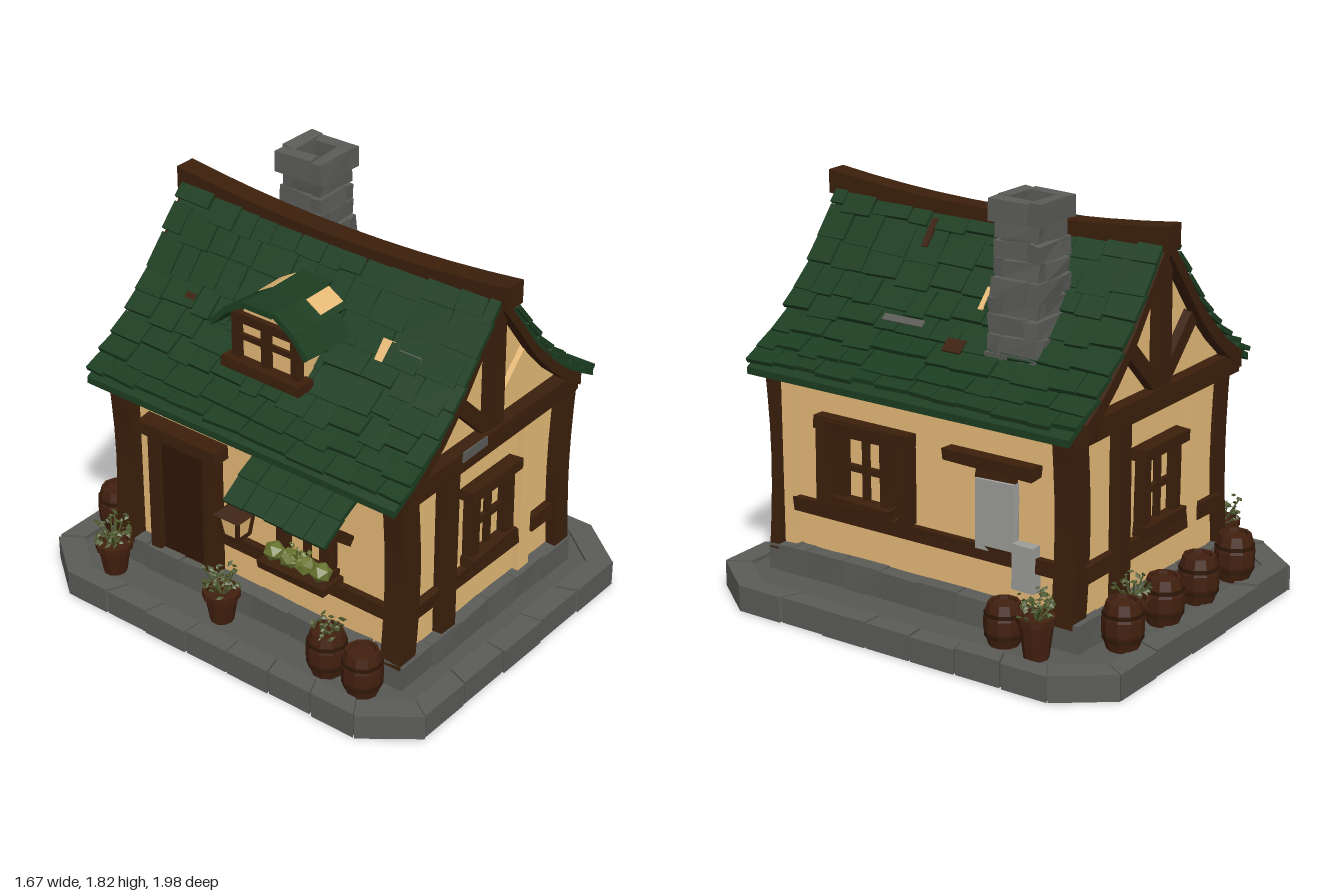
import * as THREE from 'three';
import { mergeGeometries } from 'three/addons/utils/BufferGeometryUtils.js';

const mat = (name, color) => Object.assign(new THREE.MeshStandardMaterial({ color }), { name });
const V = (x, y, z) => new THREE.Vector3(x, y, z);

export function createModel() {
  const M = {
    plaster: mat('plaster', 0xe8bc78), wood: mat('darkWood', 0x3b1f0b), door: mat('doorWood', 0x2e1708),
    stone: mat('stone', 0x5b5b58), floor: mat('floorStone', 0x565653), shingle: mat('greenShingle', 0x1c3d21),
    barrel: mat('barrelWood', 0x42200f), pale: mat('paleStone', 0x9c9c99), leaf: mat('leaf', 0x4c572c),
    olive: mat('oliveLeaf', 0x68742f),
  };
  const model = new THREE.Group();
  model.name = 'cottage';
  let seed = 7;
  const rnd = (a = 0, b = 1) => { seed = (seed * 16807) % 2147483647; return a + (b - a) * seed / 2147483647; };

  // merged mesh with hard facets
  const add = (name, material, geos, parent = model) => {
    const flat = geos.map(g => { const n = g.index ? g.toNonIndexed() : g; n.deleteAttribute('uv'); n.clearGroups(); n.computeVertexNormals(); return n; });
    const mesh = new THREE.Mesh(mergeGeometries(flat), material);
    mesh.name = name;
    parent.add(mesh);
  };
  const bend = (g, rule) => {
    const p = g.attributes.position, v = V();
    for (let i = 0; i < p.count; i++) { v.fromBufferAttribute(p, i); rule(v); p.setXYZ(i, v.x, v.y, v.z); }
    return g;
  };
  // box given by its limits, with slightly uneven corners
  const box = (x0, x1, y0, y1, z0, z1, j = 0) => {
    const off = Array.from({ length: 8 }, () => V(rnd(-j, j), rnd(-j, j), rnd(-j, j)));
    const g = new THREE.BoxGeometry(Math.abs(x1 - x0), Math.abs(y1 - y0), Math.abs(z1 - z0));
    bend(g, v => v.add(off[(v.x > 0) + 2 * (v.y > 0) + 4 * (v.z > 0)]));
    return g.translate((x0 + x1) / 2, (y0 + y1) / 2, (z0 + z1) / 2);
  };
  // bar from p to q; w runs along side, t across it
  const bar = (p, q, w, t, side = V(0, 0, 1)) => {
    const u = q.clone().sub(p), len = u.length();
    u.normalize();
    const s = side.clone().addScaledVector(u, -side.dot(u)).normalize();
    const m = new THREE.Matrix4().makeBasis(u.clone().cross(s), u, s).setPosition(p.clone().add(q).multiplyScalar(0.5));
    return new THREE.BoxGeometry(t, len, w).applyMatrix4(m);
  };
  const prism = (pts, depth, steps = 1) => new THREE.ExtrudeGeometry(
    new THREE.Shape(pts.map(p => new THREE.Vector2(...p))), { depth, steps, bevelEnabled: false });

  // base: floor slab and octagonal kerb
  const oct = (x, z, cx, cz) => [[-x + cx, -z], [x - cx, -z], [x, -z + cz], [x, z - cz], [x - cx, z], [-x + cx, z], [-x, z - cz], [-x, -z + cz]];
  const outer = oct(0.835, 0.99, 0.17, 0.22), inner = oct(0.745, 0.895, 0.14, 0.18);
  const slab = (pts, h) => prism(pts.map(([x, z]) => [x, -z]), h).rotateX(-Math.PI / 2);
  add('floor', M.floor, [slab(oct(0.815, 0.97, 0.165, 0.215), 0.1).translate(0, 0.004, 0)]);
  const kerb = [], mix = (a, b, t) => [a[0] + (b[0] - a[0]) * t, a[1] + (b[1] - a[1]) * t];
  outer.forEach((a, i) => {
    const k = (i + 1) % 8, n = i % 2 ? 1 : i % 4 ? 7 : 5;
    for (let s = 0; s < n; s++) {
      const t0 = s / n + 0.003, t1 = (s + 1) / n - 0.003, grow = rnd(0.992, 1.004);
      const pts = [mix(a, outer[k], t0), mix(a, outer[k], t1), mix(inner[i], inner[k], t1), mix(inner[i], inner[k], t0)];
      kerb.push(slab(pts.map(([x, z]) => [x * grow, z * grow]), rnd(0.106, 0.116)).translate(0, 0.006, 0));
    }
  });
  add('kerbStones', M.stone, kerb);

  // plinth of loose blocks
  const plinth = [box(-0.565, 0.565, 0.05, 0.205, -0.725, 0.795)];
  const course = (from, to, n, make) => {
    for (let i = 0; i < n; i++) plinth.push(make(from + (to - from) * i / n + 0.003, from + (to - from) * (i + 1) / n - 0.003));
  };
  for (const s of [-1, 1]) {
    course(-0.74, 0.81, 8, (a, b) => box(s * 0.45, s * 0.585, 0.09, 0.22, a, b, 0.006));
    const z = s > 0 ? 0.815 : -0.745;
    course(-0.585, 0.585, 6, (a, b) => box(a, b, 0.09, 0.22, z - s * 0.13, z, 0.006));
  }
  add('plinth', M.stone, plinth);

  // roof curve: flared slope with a sagging ridge
  const slope = [[0, 1.64], [0.12, 1.49], [0.24, 1.335], [0.36, 1.215], [0.48, 1.12], [0.58, 1.06], [0.67, 1.012]];
  const lift = (x, z) => 0.04 * ((z - 0.04) / 0.82) ** 2 * Math.max(0, 1 - Math.abs(x) / 0.67);
  const roofY = (x, z) => {
    const a = Math.abs(x);
    let i = 0;
    while (i < 5 && slope[i + 1][0] < a) i++;
    const [x0, y0] = slope[i], [x1, y1] = slope[i + 1];
    return y0 + (y1 - y0) * (a - x0) / (x1 - x0) + lift(x, z);
  };
  const xs = [...slope.map(p => -p[0]).reverse(), ...slope.slice(1).map(p => p[0])];
  const band = (list, d0, d1, z) => [...list.map(x => [x, roofY(x, z) - d1]), ...[...list].reverse().map(x => [x, roofY(x, z) - d0])];

  // house body
  const top = [0.51, 0.36, 0.24, 0.12, 0, -0.12, -0.24, -0.36, -0.51].map(x => [x, roofY(x, 0.04) - 0.03]);
  add('walls', M.plaster, [prism([[-0.51, 0.2], [0.51, 0.2], ...top], 1.46).translate(0, 0, -0.7)]);
  add('roofDeck', M.shingle, [bend(prism(band(xs, 0, 0.03, 0.04), 1.58, 8).translate(0, 0, -0.75), v => { v.y += lift(v.x, v.z); })]);

  // shingles
  const shingles = [], rows = 8;
  for (const s of [-1, 1]) for (let r = 0; r < rows; r++) {
    const xa = 0.65 * r / rows, xb = Math.min(0.66, 0.65 * (r + 1.2) / rows);
    let z = -0.77;
    while (z < 0.83) {
      const w = Math.min(rnd(0.09, 0.19), 0.845 - z), c = z + w / 2, e = rnd(-0.016, 0.014), h = rnd(0.016, 0.03);
      shingles.push(bar(V(s * xa, roofY(xa, c) + 0.004, c + rnd(-0.005, 0.005)), V(s * (xb + e), roofY(xb + e, c) + h, c), w - 0.005, 0.02));
      z += w;
    }
  }
  add('shingles', M.shingle, shingles);
  add('ridgeBeam', M.wood, [bend(new THREE.BoxGeometry(0.095, 0.1, 1.67, 1, 1, 10).translate(0.006, 1.608, 0.045), v => { v.y += lift(0, v.z) * 1.3; })]);

  // bare patches between the shingles: x, z, length in x, width
  const patches = list => list.map(([x, z, l, w]) => bar(V(x, roofY(x, z) + 0.03, z), V(x + l, roofY(x + l, z) + 0.03, z), w, 0.009));
  add('barePlaster', M.plaster, patches([[0.22, -0.07, 0.07, 0.022], [-0.27, 0.45, 0.06, 0.06]]));
  add('bareBattens', M.wood, patches([[0.07, 0.31, 0.08, 0.03], [0.4, -0.04, 0.05, 0.09], [-0.33, -0.5, 0.04, 0.05]]));
  add('bareStrips', M.stone, patches([[0.36, 0.25, 0.025, 0.2], [-0.25, 0.58, 0.025, 0.14]]));

  // window with a cross of bars, in a plane facing +z
  const windowUnit = (parent, x, shutters) => {
    const g = new THREE.Group();
    g.name = 'window';
    g.position.x = x;
    parent.add(g);
    const wood = [box(-0.14, -0.09, 0.46, 0.78, 0, 0.05, 0.004), box(0.09, 0.14, 0.46, 0.78, 0, 0.05, 0.004),
      box(-0.15, 0.15, 0.445, 0.495, 0, 0.07, 0.004), box(-0.168, 0.168, 0.77, 0.82, 0, 0.07, 0.005),
      box(-0.014, 0.014, 0.48, 0.78, 0, 0.03), box(-0.1, 0.1, 0.61, 0.638, 0, 0.03)];
    if (shutters) {
      for (const s of [-1, 1]) wood.push(box(s * 0.17, s * 0.24, 0.44, 0.82, 0, 0.05, 0.004));
      wood.push(box(-0.24, 0.24, 0.77, 0.83, 0, 0.06, 0.004));
    }
    add('windowFrame', M.wood, wood, g);
    add('windowPane', M.plaster, [box(-0.1, 0.1, 0.48, 0.78, 0, 0.008)], g);
  };

  // gable ends: timbers, braces, window
  const gable = (name, z, turn, braces) => {
    const g = new THREE.Group();
    g.name = name;
    g.position.z = z;
    g.rotation.y = turn;
    model.add(g);
    const wood = [box(-0.31, -0.225, 0.22, 1, 0, 0.045, 0.005), box(-0.5, 0.23, 0.375, 0.44, 0, 0.035, 0.005),
      box(0.32, 0.5, 0.375, 0.44, 0, 0.035, 0.005), box(-0.57, 0.575, 0.96, 1.045, -0.03, 0.06, 0.005), box(-0.03, 0.055, 1.03, 1.6, 0, 0.05, 0.003)];
    for (const s of braces) wood.push(bar(V(s * 0.02, 1.05, 0.02), V(s * 0.25, 1.28, 0.02), 0.04, 0.065));
    wood.push(prism(band(xs.slice(1, -1), 0.015, 0.085, 0.8), 0.05).translate(0, 0, 0.02));
    add('timbers', M.wood, wood, g);
    const strips = [box(0.24, 0.315, 0.22, 0.96, 0, 0.03)];
    if (braces.length < 2) {
      strips.push(bar(V(0.02, 1.05, 0.012), V(0.25, 1.28, 0.012), 0.025, 0.065));
      add('beamPatch', M.stone, [box(-0.23, -0.07, 1.01, 1.05, 0.06, 0.068, 0.003)], g);
    }
    add('plasterStrips', M.plaster, strips, g);
    windowUnit(g, 0.015, false);
  };
  gable('frontGable', 0.76, 0, [-1]);
  gable('backGable', -0.7, Math.PI, [-1, 1]);

  // corner posts, slightly bowed, and side beams; one post is partly plastered
  const posts = [[-1, 0.755, 0.1], [1, 0.785, 0.045], [-1, -0.665, 0.1], [1, -0.665, 0.1]].map(([s, z, d]) =>
    bend(new THREE.BoxGeometry(0.1, 0.8, d, 1, 6, 1).translate(s * 0.525, 0.6, z), v => { v.x -= s * 0.025 * Math.sin((v.y - 0.2) / 0.8 * Math.PI) - s * 0.012; }));
  add('cornerPosts', M.wood, posts);
  add('postPlaster', M.plaster, [box(0.49, 0.54, 0.22, 0.96, 0.7, 0.762)]);
  add('sideBeams', M.wood, [box(0.5, 0.545, 0.375, 0.435, -0.63, 0.71, 0.004), box(-0.545, -0.5, 0.375, 0.435, -0.16, 0.71, 0.004),
    ...[-1, 1].map(s => box(s * 0.49, s * 0.57, 0.965, 1.03, -0.765, 0.82, 0.004))]);

  // right side: shuttered window and blocked doorway
  const right = new THREE.Group(), left = new THREE.Group();
  right.name = 'rightWall'; right.position.x = 0.51; right.rotation.y = Math.PI / 2;
  left.name = 'leftWall'; left.position.x = -0.51; left.rotation.y = -Math.PI / 2;
  model.add(right, left);
  windowUnit(right, -0.33, true);
  add('doorwayHeader', M.wood, [box(0.09, 0.52, 0.77, 0.82, 0, 0.07, 0.006), box(0.22, 0.41, 0.71, 0.78, 0, 0.02, 0.008)], right);
  add('palePanel', M.pale, [box(0.22, 0.41, 0.42, 0.72, 0, 0.03, 0.008), box(0.41, 0.515, 0.29, 0.485, 0, 0.05, 0.004)], right);

  // left side: door, window, flower shelf
  windowUnit(left, 0.29, false);
  add('doorFrame', M.wood, [box(-0.53, -0.47, 0.2, 0.8, 0, 0.06, 0.005), box(-0.23, -0.17, 0.2, 0.8, 0, 0.06, 0.005), box(-0.56, -0.14, 0.78, 0.84, 0, 0.08, 0.005)], left);
  add('door', M.door, [0, 1, 2].map(i => box(-0.47 + i * 0.08, -0.394 + i * 0.08, 0.2, 0.78, 0, 0.035)), left);
  add('flowerShelf', M.wood, [box(0.12, 0.46, 0.43, 0.465, 0, 0.13, 0.004)], left);

  // awning
  const awning = [], arms = [];
  for (let i = 0; i < 5; i++) {
    const z = 0.08 + i * 0.105;
    awning.push(bar(V(-0.52, 0.89, z), V(-0.64, 0.83 + rnd(-0.005, 0.005), z), 0.1, 0.02));
    awning.push(bar(V(-0.62, 0.835, z), V(-0.735 + rnd(-0.01, 0.01), 0.76, z), 0.1, 0.02));
  }
  for (const z of [0.06, 0.49]) arms.push(bar(V(-0.52, 0.66, z), V(-0.66, 0.775, z), 0.045, 0.045));
  add('awning', M.shingle, awning);
  add('brackets', M.wood, arms);

  // lantern hanging from the nearest bracket
  const frustum = (r1, r0, h, y) => new THREE.CylinderGeometry(r1, r0, h, 4).rotateY(Math.PI / 4).translate(-0.66, y, 0.03);
  add('lanternGlass', M.plaster, [frustum(0.068, 0.048, 0.1, 0.615)]);
  const cage = [frustum(0.012, 0.095, 0.05, 0.69), frustum(0.06, 0.055, 0.018, 0.562), frustum(0.01, 0.01, 0.07, 0.74)];
  for (const a of [-1, 1]) for (const b of [-1, 1]) cage.push(bar(V(-0.66 + a * 0.036, 0.56, 0.03 + b * 0.036), V(-0.66 + a * 0.05, 0.67, 0.03 + b * 0.05), 0.014, 0.014));
  add('lanternCage', M.wood, cage);

  // dormer: arched shingle roof with a bare patch behind each shoulder
  const arch = [[-0.24, 1.355], [-0.17, 1.43], [-0.07, 1.49], [0.07, 1.49], [0.17, 1.43], [0.24, 1.355]];
  const dormerTiles = [], dormerBare = [];
  arch.slice(0, -1).forEach(([z0, y0], i) => {
    const [z1, y1] = arch[i + 1], side = V(0, y1 - y0, z1 - z0), w = side.length() + 0.012;
    const z = (z0 + z1) / 2 + 0.02, y = (y0 + y1) / 2 + 0.012, back = [-0.22, -0.16, -0.11, -0.16, -0.22][i];
    dormerTiles.push(bar(V(-0.37, y, z), V(back, y, z), w, 0.024, side));
    dormerTiles.push(bar(V(-0.495 + rnd(-0.006, 0.006), y + 0.016, z), V(-0.35, y + 0.004, z), w, 0.024, side));
    if (i % 2) dormerBare.push(bar(V(-0.3, y + 0.013, z), V(-0.16, y + 0.013, z), 0.085, 0.008, side));
  });
  add('dormerRoof', M.shingle, dormerTiles);
  add('dormerPatches', M.plaster, dormerBare);
  add('dormerBody', M.plaster, [prism([[-0.16, 1.15], [0.16, 1.15], [0.16, 1.42], [0.07, 1.48], [-0.07, 1.48], [-0.16, 1.42]], 0.27).rotateY(-Math.PI / 2).translate(-0.16, 0, 0.02)]);
  const frame = [box(-0.49, -0.4, 1.195, 1.24, -0.18, 0.22, 0.004), box(-0.455, -0.42, 1.4, 1.44, -0.14, 0.18)];
  for (const z of [-0.13, 0.02, 0.17]) frame.push(box(-0.455, -0.42, 1.22, 1.44, z - 0.02, z + 0.02));
  frame.push(box(-0.445, -0.42, 1.32, 1.345, -0.14, 0.18));
  add('dormerWindow', M.wood, frame);

  // chimney: courses of blocks round an open flue
  const chimney = [];
  const ring = (x, z, r, y0, y1, w, flip, j) => {
    for (let k = 0; k < 4; k++) {
      const g = box(-r, r - w, y0, y1, r - w, r, j);
      if (flip) g.translate(w, 0, 0);
      chimney.push(g.rotateY(k * Math.PI / 2).translate(x, 0, z));
    }
  };
  for (let i = 0; i < 8; i++) ring(0.308 - i * 0.0035, -0.315, 0.12 - i * 0.002 + rnd(-0.004, 0.004), 1.13 + i * 0.075, 1.2 + i * 0.075, 0.055, i % 2, 0.007);
  ring(0.283, -0.315, 0.122, 1.725, 1.815, 0.06, false, 0.006);
  add('chimney', M.stone, chimney);
  add('chimneyCore', M.floor, [box(0.2, 0.375, 1.1, 1.66, -0.4, -0.23)]);

  // barrels, pots and plants
  const barrels = [], hoops = [], pots = [], leaves = [];
  const lathe = pts => new THREE.LatheGeometry(pts.map(p => new THREE.Vector2(...p)), 10);
  const barrel = (x, z, h = 0.2, k = 1) => {
    barrels.push(lathe([[0, 0], [0.066 * k, 0], [0.086 * k, h * 0.35], [0.086 * k, h * 0.65], [0.068 * k, h], [0.056 * k, h], [0.054 * k, h - 0.015], [0, h - 0.015]]).translate(x, 0.11, z));
    for (const t of [0.25, 0.75]) hoops.push(new THREE.CylinderGeometry(0.084 * k, 0.084 * k, 0.016, 10, 1).translate(x, 0.11 + h * t, z));
  };
  const plant = (x, y, z, r, h, n, list = leaves) => {
    for (let i = 0; i < n; i++) {
      const a = rnd(0, 6.28), d = r * Math.sqrt(rnd()), p = V(x + d * Math.cos(a), y + rnd(0.1, 1) * h, z + d * Math.sin(a));
      list.push(new THREE.OctahedronGeometry(rnd(0.009, 0.017)).scale(1.3, 0.5, 0.9).rotateZ(rnd(-1, 1)).rotateY(a).translate(p.x, p.y, p.z));
      if (i % 4 === 0) list.push(bar(V(x, y - 0.02, z), p, 0.005, 0.005));
    }
  };
  const pot = (x, z, k = 1) => {
    const h = 0.15 * k;
    pots.push(lathe([[0, 0], [0.05, 0], [0.07, h - 0.03], [0.08, h - 0.03], [0.08, h], [0.064, h], [0.06, h - 0.02], [0, h - 0.02]]).translate(x, 0.1, z));
    plant(x, 0.09 + h, z, 0.08, 0.11, 46);
  };
  for (const x of [-0.43, -0.14, 0.13, 0.43]) barrel(x, -0.85);
  barrel(-0.68, 0.69);
  barrel(-0.665, 0.5);
  plant(-0.665, 0.29, 0.5, 0.07, 0.08, 28);
  barrel(0.665, -0.45, 0.18, 0.95);
  pot(0.69, -0.62, 1.2);
  for (const [x, z] of [[-0.68, -0.64], [-0.66, -0.06], [0.28, -0.79]]) pot(x, z);
  add('barrels', M.barrel, barrels);
  add('barrelHoops', M.door, hoops);
  add('flowerPots', M.barrel, pots);
  add('potPlants', M.leaf, leaves);

  // greenery on the window shelf
  const shelf = [];
  for (let i = 0; i < 4; i++) shelf.push(new THREE.IcosahedronGeometry(0.048, 0).scale(1, 0.9, 1).rotateY(i).translate(-0.59, 0.505, 0.17 + i * 0.08));
  plant(-0.59, 0.5, 0.29, 0.05, 0.09, 16, shelf);
  add('shelfPlants', M.olive, shelf);

  return model;
}
